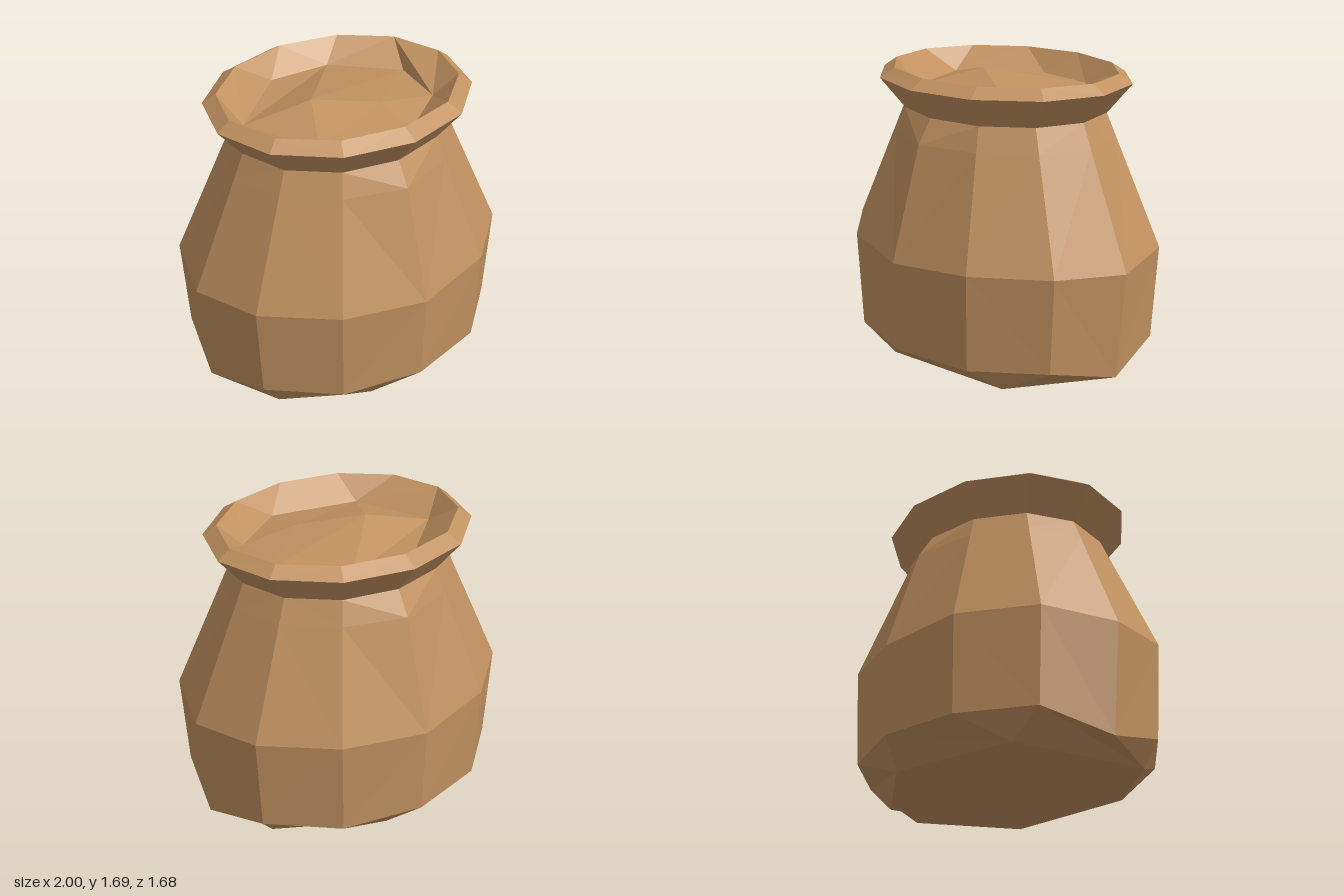
import * as THREE from 'three';

const SIDES = 12;
const clay = new THREE.MeshStandardMaterial({ color: 0xc19160, flatShading: true });
clay.name = 'clay';

// Elliptical ring of points; height may vary with the index
function ring(rx, rz, height) {
  return Array.from({ length: SIDES }, (_, k) => {
    const t = (k / SIDES) * Math.PI * 2;
    const y = typeof height === 'function' ? height(k) : height;
    return new THREE.Vector3(rx * Math.cos(t), y, rz * Math.sin(t));
  });
}

const angle = (p) => (Math.atan2(p.z, p.x) + Math.PI * 2 - 1e-6) % (Math.PI * 2);

// Joins two loops with any number of points, always stepping to the nearer angle
function bridge(lower, upper) {
  const tris = [];
  const at = (loop, i) => loop[i % loop.length];
  const next = (loop, i) =>
    i >= loop.length ? Infinity : i + 1 === loop.length ? 10 + angle(loop[0]) : angle(loop[i + 1]);
  // rings starting on the +x axis count from zero
  let i = 0, j = 0;
  while (i < lower.length || j < upper.length) {
    if (next(lower, i) <= next(upper, j)) {
      tris.push(at(lower, i), at(upper, j), at(lower, i + 1));
      i++;
    } else {
      tris.push(at(lower, i), at(upper, j), at(upper, j + 1));
      j++;
    }
  }
  return tris;
}

function part(name, points) {
  const geometry = new THREE.BufferGeometry().setFromPoints(points);
  geometry.computeVertexNormals();
  const mesh = new THREE.Mesh(geometry, clay);
  mesh.name = name;
  return mesh;
}

export function createModel() {
  const pot = new THREE.Group();
  pot.name = 'clayPot';

  // Uneven foot outline, in order around the pot
  const foot = [[0.57, 0.53], [-0.24, 0.66], [-0.72, 0.4], [-0.62, -0.43], [0.13, -0.66], [0.72, -0.33]]
    .map(([x, z]) => new THREE.Vector3(x, 0, z));
  const middle = new THREE.Vector3(0, 0, 0);
  pot.add(part('base', foot.flatMap((p, i) => [middle, p, foot[(i + 1) % foot.length]])));

  // Body rings: lower edge dips at the two sides
  const lowerEdge = ring(0.96, 0.82, (k) => (k % 6 === 0 ? 0.035 : k % 2 ? 0.14 : 0.135));
  lowerEdge[0].x = 0.94;
  lowerEdge[6].x = -0.94;
  const belly = ring(1, 0.84, (k) => (k % 3 === 0 ? 0.67 : 0.7));
  const neck = ring(0.65, 0.555, 1.46);
  // Shoulder follows the slope, with a small bulge at front and back
  const shoulder = belly.map((p, k) => p.clone().lerp(neck[k], 0.82));
  for (const k of [3, 9]) shoulder[k].set(0, 1.32, k === 3 ? 0.64 : -0.64);

  pot.add(part('foot', bridge(foot, lowerEdge)));
  pot.add(part('lowerBody', bridge(lowerEdge, belly)));
  pot.add(part('upperBody', [...bridge(belly, shoulder), ...bridge(shoulder, neck)]));

  // Flared rim
  const lip = ring(0.8, 0.69, 1.635);
  const mouth = ring(0.725, 0.602, 1.69);
  pot.add(part('rim', [...bridge(neck, lip), ...bridge(lip, mouth)]));

  // Inner wall down to the irregular filling
  const fill = [[0.5, 0.23], [0.15, 0.47], [-0.38, 0.35], [-0.57, -0.11], [-0.15, -0.47], [0.23, -0.44], [0.56, -0.12]]
    .map(([x, z]) => new THREE.Vector3(x, 1.56, z));
  pot.add(part('innerWall', bridge(mouth, fill)));

  // Lumpy filling with a high and a low peak (points 7 and 8)
  const lumps = [...fill, new THREE.Vector3(-0.19, 1.65, 0), new THREE.Vector3(0.15, 1.61, 0.19)];
  const faces = [0, 8, 1, 1, 8, 2, 2, 8, 7, 2, 7, 3, 3, 7, 5, 3, 5, 4, 5, 7, 6, 6, 7, 8, 6, 8, 0];
  pot.add(part('filling', faces.map((i) => lumps[i])));

  return pot;
}
